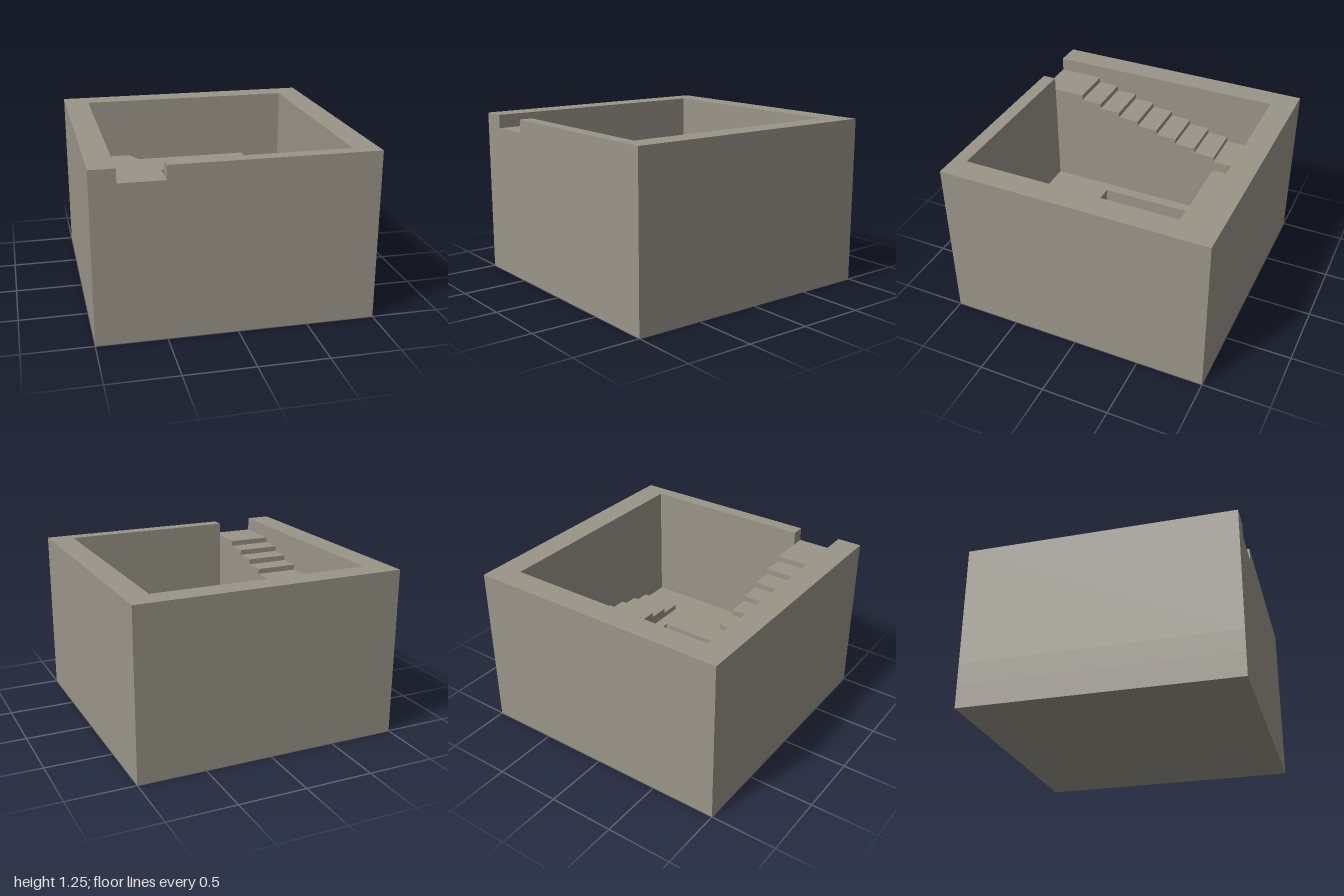
import * as THREE from 'three';

const U = 0.1633;          // tread depth
const RISE = U / 4;        // drop per step
const TOP = 1.25;          // rim height
const ENTRY = TOP - 0.102; // floor of the entrance notch
const FLOOR = ENTRY - 20 * RISE;
const BASE = 0.17;         // bottom of the central basin
const OUT = 5 * U;         // inner face of the side and back walls
const IN = 3 * U;          // inner edge of the stairs
const FRONT = 5.5 * U;     // inner face of the front wall

export function createModel() {
  const model = new THREE.Group();
  const stone = new THREE.MeshStandardMaterial({ color: 0x9a9588 });
  stone.name = 'stone';

  const add = (name, geometry) => {
    const mesh = new THREE.Mesh(geometry, stone);
    mesh.name = name;
    model.add(mesh);
  };

  // box given by its extents
  const block = (name, x0, x1, y0, y1, z0, z1) => {
    const g = new THREE.BoxGeometry(x1 - x0, y1 - y0, z1 - z0);
    g.translate((x0 + x1) / 2, (y0 + y1) / 2, (z0 + z1) / 2);
    add(name, g);
  };

  // plan outline in [x, z] pulled upwards from y0 to y1
  const points = (plan) => plan.map(([x, z]) => new THREE.Vector2(x, -z));
  const raise = (name, plan, y0, y1, hole) => {
    const shape = new THREE.Shape(points(plan));
    if (hole) shape.holes.push(new THREE.Path(points(hole)));
    const g = new THREE.ExtrudeGeometry(shape, { depth: y1 - y0, bevelEnabled: false });
    g.rotateX(-Math.PI / 2).translate(0, y0, 0);
    add(name, g);
  };
  const square = (r) => [[-r, r], [r, r], [r, -r], [-r, -r]];

  // base slab and pit floor with a sunken square basin
  block('baseSlab', -1, 1, 0, BASE, -1, 1);
  raise('pitFloor', square(1), BASE, FLOOR, square(2.5 * U));

  // surrounding wall, open at the entrance notch
  raise('outerWall', [
    [-IN, 1], [1, 1], [1, -1], [-1, -1], [-1, 1], [-OUT, 1],
    [-OUT, -OUT], [OUT, -OUT], [OUT, FRONT], [-IN, FRONT],
  ], FLOOR, TOP);

  // entrance landing, then the upper flight descending towards the back
  block('entranceLanding', -OUT, -IN, FLOOR, ENTRY, 4 * U, 1);
  for (let i = 1; i <= 9; i++) {
    const z = (5 - i) * U;
    block('upperStep' + i, -OUT, -IN, FLOOR, ENTRY - i * RISE, z - U, z);
  }

  // landing across the back
  block('backLanding', -IN, IN, FLOOR, ENTRY - 10 * RISE, -OUT, -IN);

  // lower flight descending towards the front
  for (let i = 0; i < 9; i++) {
    const z = (i - 5) * U;
    block('lowerStep' + (i + 1), IN, OUT, FLOOR, ENTRY - (11 + i) * RISE, z, z + U);
  }

  return model;
}
